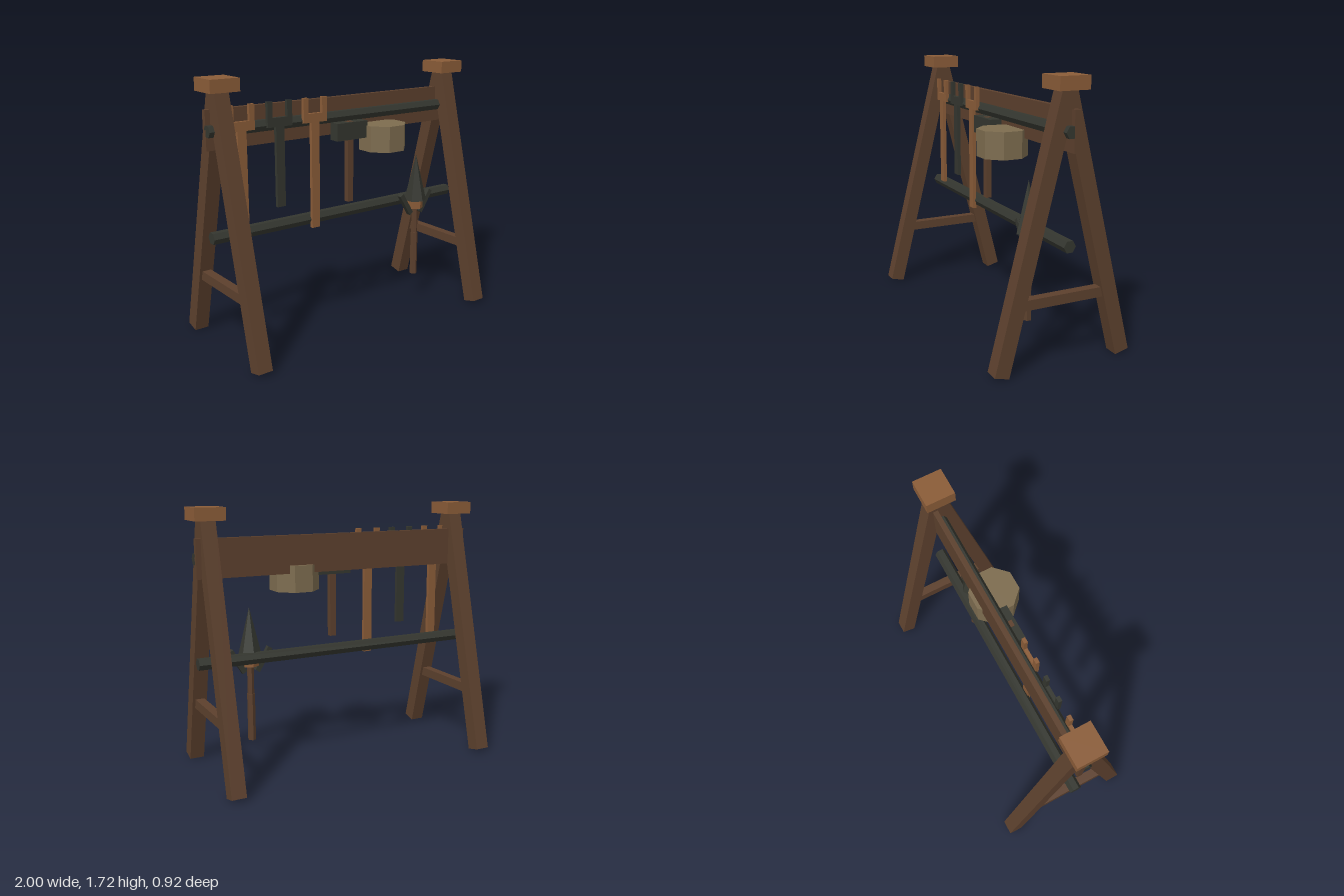
import * as THREE from 'three';

const mat = (name, color) => {
  const m = new THREE.MeshStandardMaterial({ color });
  m.name = name;
  m.flatShading = true;
  return m;
};

export function createModel() {
  const darkWood = mat('dark wood', 0x5c402d);
  const lightWood = mat('light wood', 0x8a5c38);
  const iron = mat('dark iron', 0x34362f);
  const stone = mat('tan stone', 0x7d6c4f);

  const root = new THREE.Group();
  root.name = 'toolRack';

  const add = (parent, name, geometry, material, x, y, z) => {
    const mesh = new THREE.Mesh(geometry, material);
    mesh.name = name;
    mesh.position.set(x, y, z);
    parent.add(mesh);
    return mesh;
  };
  const box = (parent, name, material, size, pos) =>
    add(parent, name, new THREE.BoxGeometry(...size), material, ...pos);
  const group = (name, x = 0, y = 0, z = 0) => {
    const g = new THREE.Group();
    g.name = name;
    g.position.set(x, y, z);
    root.add(g);
    return g;
  };

  // A-shaped end frames
  for (const s of [-1, 1]) {
    const frame = group(s < 0 ? 'rightFrame' : 'leftFrame', s * 0.903);
    for (const f of [-1, 1]) {
      const leg = box(frame, f > 0 ? 'frontLeg' : 'backLeg', darkWood,
        [0.096, 1.676, 0.095], [0, 0.828, f * 0.206]);
      leg.rotation.x = -f * 0.248;
    }
    box(frame, 'crossBrace', darkWood, [0.06, 0.062, 0.58], [0, 0.424, 0]);
    box(frame, 'cap', lightWood, [0.195, 0.08, 0.195], [0, 1.68, 0]);
  }

  // Back plank and the two hexagonal bars
  box(root, 'backPlank', darkWood, [1.968, 0.245, 0.034], [0, 1.412, -0.029]);
  for (const [name, y] of [['upperBar', 1.409], ['lowerBar', 0.755]]) {
    const bar = add(root, name, new THREE.CylinderGeometry(0.04, 0.04, 1.968, 6), iron, 0, y, 0.001);
    bar.rotation.z = Math.PI / 2;
  }

  // Hanging forked tools
  const forks = [[-0.779, 0.783, lightWood], [-0.511, 0.887, iron], [-0.247, 0.7, lightWood]];
  for (const [x, bottom, material] of forks) {
    const fork = group('forkedTool', x, 0, 0.042);
    const length = 1.4 - bottom;
    box(fork, 'stem', material, [0.06, length, 0.024], [0, bottom + length / 2, 0]);
    box(fork, 'crosspiece', material, [0.178, 0.058, 0.024], [0, 1.426, 0]);
    for (const s of [-1, 1]) {
      box(fork, 'prong', material, [0.036, 0.1, 0.024], [s * 0.071, 1.505, 0]);
    }
  }

  // Hammer
  const hammer = group('hammer', 0.02, 0, 0.055);
  box(hammer, 'head', iron, [0.245, 0.115, 0.08], [0, 1.318, 0]);
  box(hammer, 'handle', darkWood, [0.044, 0.541, 0.038], [0, 1.1065, 0]);

  // Eight-sided stone drum
  const drum = add(root, 'stoneDrum',
    new THREE.CylinderGeometry(0.1624, 0.1624, 0.174, 8), stone, 0.285, 1.254, 0.08);
  drum.rotation.y = Math.PI / 8;

  // Winged spear
  const spear = group('spear', 0.613, 0, 0.067);
  add(spear, 'point', new THREE.ConeGeometry(0.08, 0.328, 6), iron, 0, 0.913, 0);
  add(spear, 'collar', new THREE.CylinderGeometry(0.057, 0.057, 0.06, 6), lightWood, 0, 0.72, 0);
  add(spear, 'shaft', new THREE.CylinderGeometry(0.022, 0.022, 0.3, 6), darkWood, 0, 0.6, 0);
  add(spear, 'grip', new THREE.CylinderGeometry(0.026, 0.026, 0.317, 6), darkWood, 0, 0.3435, 0);
  for (const s of [-1, 1]) {
    const wing = box(spear, 'wing', iron, [0.034, 0.176, 0.034], [s * 0.09, 0.727, -0.003]);
    wing.rotation.z = -s * 0.56;
  }

  return root;
}
